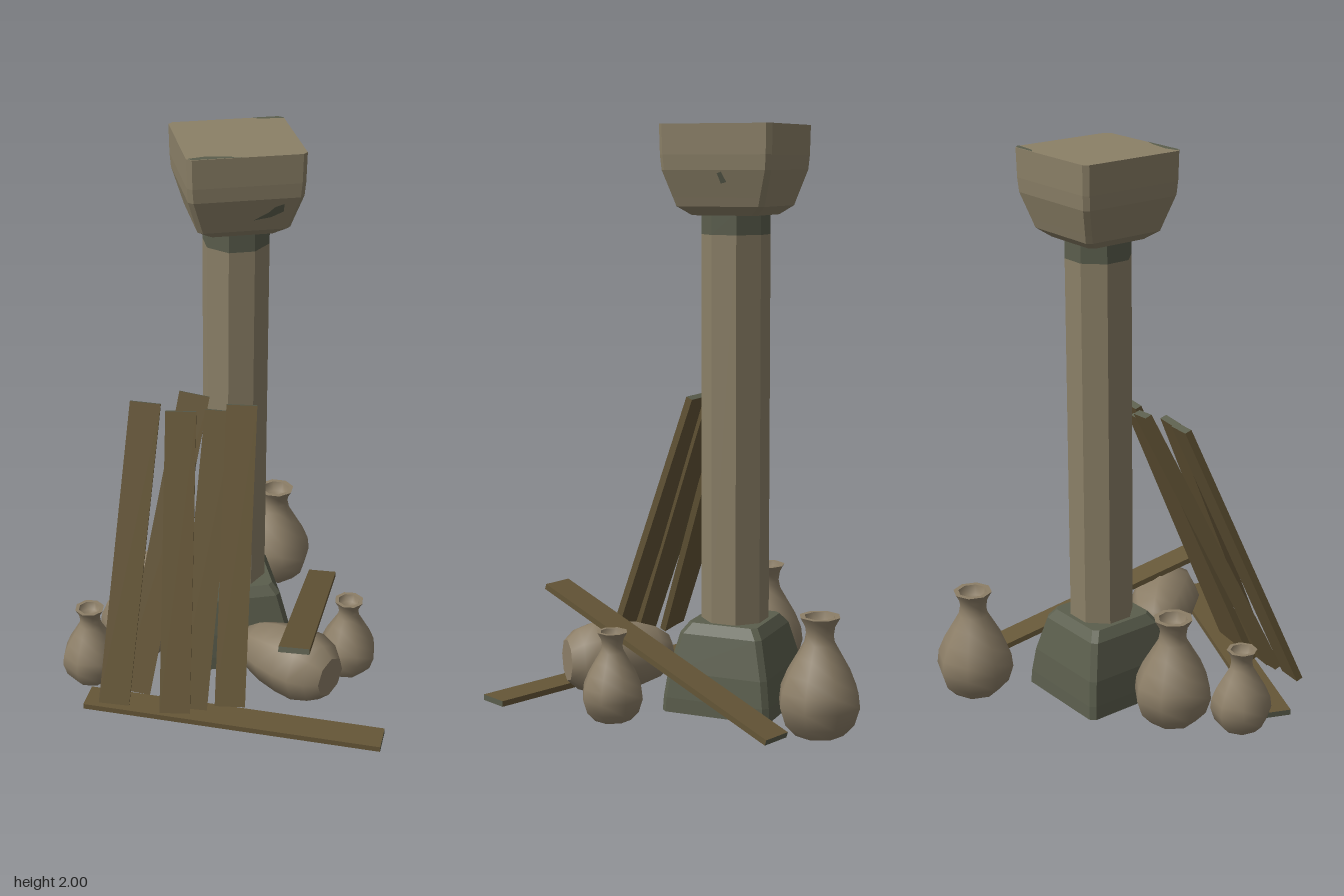
import * as THREE from 'three';

const mat = (name, color, side = THREE.FrontSide) => {
  const m = new THREE.MeshStandardMaterial({ color, side });
  m.name = name;
  return m;
};

export function createModel() {
  const model = new THREE.Group();
  model.name = 'ruinedColumnWithPots';
  const stone = mat('stone', 0x8b8067);
  const moss = mat('mossyStone', 0x5b5e4d);
  const clay = mat('clay', 0x8c7e67);
  const wood = mat('wood', 0x655637);

  const add = (name, geometry, material, parent = model) => {
    const mesh = new THREE.Mesh(geometry, material);
    mesh.name = name;
    parent.add(mesh);
    return mesh;
  };

  // Square block with chamfered corners, lofted through [y, halfWidth] levels
  const loft = (levels, chamfer) => {
    const rings = levels.map(([y, h]) => {
      const c = h - chamfer;
      return [[c, h], [h, c], [h, -c], [c, -h], [-c, -h], [-h, -c], [-h, c], [-c, h]]
        .map(([x, z]) => [x, y, z]);
    });
    const pos = [];
    const tri = (...corners) => corners.forEach((p) => pos.push(...p));
    for (let k = 0; k < rings.length - 1; k++) {
      for (let i = 0; i < 8; i++) {
        const j = (i + 1) % 8, lo = rings[k], hi = rings[k + 1];
        tri(lo[i], lo[j], hi[j]);
        tri(lo[i], hi[j], hi[i]);
      }
    }
    const bottom = rings[0], top = rings[rings.length - 1];
    for (let i = 1; i < 7; i++) {
      tri(bottom[0], bottom[i + 1], bottom[i]);
      tri(top[0], top[i], top[i + 1]);
    }
    const g = new THREE.BufferGeometry();
    g.setAttribute('position', new THREE.Float32BufferAttribute(pos, 3));
    g.computeVertexNormals();
    return g;
  };

  // Column: base, octagonal shaft with a weathered band, capital
  const column = new THREE.Group();
  column.name = 'column';
  column.position.set(0.095, 0, -0.135);
  model.add(column);
  add('columnBase', loft([[0, 0.197], [0.05, 0.194], [0.14, 0.182], [0.27, 0.15], [0.305, 0.125]], 0.018), moss, column);
  const shaft = (name, y0, y1, material) => {
    const g = new THREE.CylinderGeometry(0.117, 0.117, y1 - y0, 8).toNonIndexed();
    g.computeVertexNormals();
    const mesh = add(name, g, material, column);
    mesh.position.y = (y0 + y1) / 2;
    mesh.rotation.y = Math.PI / 8;
  };
  shaft('shaft', 0.3, 1.635, stone);
  shaft('shaftMossBand', 1.635, 1.71, moss);
  add('capital', loft([[1.7, 0.118], [1.73, 0.157], [1.76, 0.166], [1.85, 0.194], [1.9, 0.198], [2, 0.2]], 0.016), stone, column);

  // Thin moss stains on the capital
  const stain = (points, parent) =>
    add('mossStain', new THREE.ShapeGeometry(new THREE.Shape(points.map((p) => new THREE.Vector2(...p)))), moss, parent);
  const front = stain([[-0.05, -0.03], [0.01, -0.02], [0.05, 0], [0.05, 0.03], [0.02, 0.02], [0, 0]], column);
  front.position.set(0.075, 1.8, 0.181);
  front.rotation.x = 0.3;
  const sideGroup = new THREE.Group();
  sideGroup.name = 'sideStain';
  sideGroup.rotation.y = Math.PI / 2;
  column.add(sideGroup);
  const side = stain([[0, -0.02], [0.02, -0.015], [0.005, 0.02], [-0.01, 0.015]], sideGroup);
  side.position.set(0.02, 1.825, 0.189);
  side.rotation.x = 0.3;
  const topStains = [
    [[-0.198, -0.184], [-0.182, -0.199], [-0.02, -0.199], [-0.06, -0.185], [-0.14, -0.172]],
    [[0.09, 0.199], [0.11, 0.185], [0.199, 0.175], [0.199, 0.184], [0.184, 0.199]].reverse(),
  ];
  for (const points of topStains) {
    const s = stain(points, column);
    s.rotation.x = -Math.PI / 2;
    s.position.y = 2.001;
  }

  // Pots: eight-sided lathes, with sharp creases where profiles meet
  const lathe = (name, profile, parent) =>
    add(name, new THREE.LatheGeometry(profile.map((p) => new THREE.Vector2(...p)), 8), clay, parent);
  const potGroup = (name, x, y, z) => {
    const g = new THREE.Group();
    g.name = name;
    g.position.set(x, y, z);
    model.add(g);
    return g;
  };
  const pot = (x, z, scale, turn) => {
    const g = potGroup('pot', x, 0.015, z);
    g.scale.setScalar(scale);
    g.rotation.y = turn;
    lathe('potBottom', [[0, 0], [0.085, 0]], g);
    lathe('potBody', [[0.085, 0], [0.122, 0.04], [0.141, 0.1], [0.135, 0.15], [0.112, 0.205],
      [0.08, 0.26], [0.054, 0.305], [0.048, 0.335], [0.053, 0.365], [0.07, 0.395]], g);
    lathe('potRim', [[0.07, 0.395], [0.052, 0.395]], g);
    lathe('potMouth', [[0.052, 0.395], [0.042, 0.36], [0, 0.36]], g);
  };
  pot(0.34, -0.532, 1, 0);
  pot(-0.278, -0.107, 1, -0.2);
  pot(0.468, 0.16, 0.765, 0.1);
  pot(-0.472, 0.043, 0.765, 0.15);

  // Fallen pot lying against the column base
  const fallen = potGroup('fallenPot', 0.345, 0.157, 0.395);
  fallen.quaternion.setFromUnitVectors(new THREE.Vector3(0, 1, 0), new THREE.Vector3(-0.66, 0, -0.75).normalize());
  lathe('fallenPotBottom', [[0, 0], [0.075, 0]], fallen);
  lathe('fallenPotBody', [[0.075, 0], [0.112, 0.04], [0.132, 0.1], [0.13, 0.17], [0.118, 0.25],
    [0.095, 0.32], [0.06, 0.37], [0, 0.39]], fallen);

  // Planks: boxes laid between two end points; weathered end grain
  const plank = (name, a, b, hint, thickness) => {
    const p = new THREE.Vector3(...a), q = new THREE.Vector3(...b);
    const along = q.clone().sub(p);
    const length = along.length();
    along.normalize();
    const across = new THREE.Vector3(...hint);
    across.addScaledVector(along, -across.dot(along)).normalize();
    const normal = across.clone().cross(along);
    const mesh = add(name, new THREE.BoxGeometry(0.108, length, thickness), [wood, wood, moss, moss, wood, wood]);
    mesh.quaternion.setFromRotationMatrix(new THREE.Matrix4().makeBasis(across, along, normal));
    mesh.position.copy(p).add(q).multiplyScalar(0.5);
  };
  const leaning = [
    [[-0.425, 0.1, 0.335], [-0.24, 1.09, -0.045]],
    [[-0.345, 0.12, 0.305], [-0.062, 1.095, -0.07]],
    [[-0.215, 0.065, 0.38], [-0.123, 1.07, 0.005]],
    [[-0.15, 0.06, 0.36], [0.02, 1.05, -0.015]],
    [[-0.018, 0.075, 0.39], [0.093, 1.075, 0.005]],
  ];
  leaning.forEach(([a, b]) => plank('leaningPlank', a, b, [1, 0, 0.2], 0.025));
  plank('floorPlank', [-0.505, 0.025, 0.185], [0.485, 0.025, 0.613], [-0.4, 0, 0.92], 0.02);
  plank('proppedPlank', [0.18, 0.38, 0.52], [0.52, 0.04, -0.45], [0.94, 0, 0.33], 0.02);

  return model;
}
